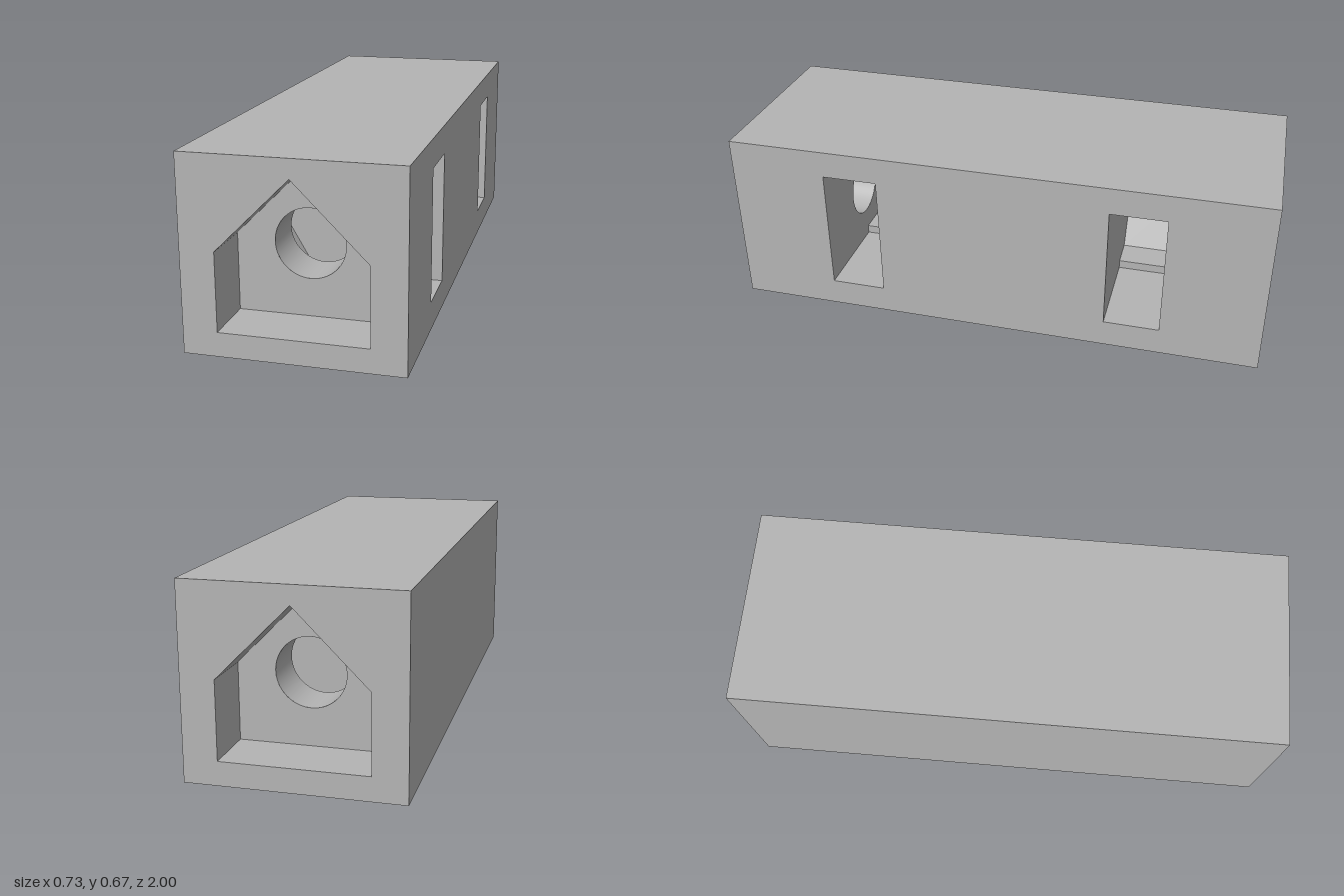
import * as THREE from 'three';

const W = 0.367, H = 0.667, L = 1;          // half width, height, half length
const CY = 0.334, BORE = 0.12;              // bore axis height and radius
const POCKET_Z = 0.8, SLOT_OUT = 0.635, SLOT_IN = 0.43;
const R = 0.232, F = 0.2;                   // hexagon corner and flat radii

const grey = new THREE.MeshStandardMaterial({ color: 0xb4b4b4, side: THREE.DoubleSide });
grey.name = 'plain grey';

const toShape = (pts) => new THREE.Shape(pts.map(([x, y]) => new THREE.Vector2(x, y)));
const rect = (x0, y0, x1, y1) => [[x0, y0], [x1, y0], [x1, y1], [x0, y1]];

// Flat sheet in the xy plane with optional holes
function sheet(pts, holes = []) {
  const shape = toShape(pts);
  shape.holes.push(...holes);
  return new THREE.ShapeGeometry(shape, 64);
}

// Inward-facing walls along a counterclockwise outline, from z0 to z1
function walls(pts, z0, z1, closed) {
  const pos = [];
  const count = closed ? pts.length : pts.length - 1;
  for (let i = 0; i < count; i++) {
    const [px, py] = pts[i], [qx, qy] = pts[(i + 1) % pts.length];
    pos.push(px, py, z0, px, py, z1, qx, qy, z1);
    pos.push(px, py, z0, qx, qy, z1, qx, qy, z0);
  }
  const g = new THREE.BufferGeometry();
  g.setAttribute('position', new THREE.Float32BufferAttribute(pos, 3));
  g.computeVertexNormals();
  return g;
}

export function createModel() {
  const model = new THREE.Group();
  model.name = 'slottedBlock';
  const add = (name, geometry) => {
    const mesh = new THREE.Mesh(geometry, grey);
    mesh.name = name;
    model.add(mesh);
    return mesh;
  };

  const house = [[-0.25, 0.083], [0.25, 0.083], [0.25, 0.352], [0, 0.602], [-0.25, 0.352]];
  const slot = [[W, CY + R], [0, CY + R], [0, CY + F], [-R / 2, CY + F], [-R, CY],
    [-R / 2, CY - F], [0, CY - F], [0, CY - R], [W, CY - R]];
  const circle = () => new THREE.Path().absarc(0, CY, BORE, 0, Math.PI * 2, true);

  // Outer skin
  add('top', sheet(rect(-W, -L, W, L)).rotateX(-Math.PI / 2).translate(0, H, 0));
  add('bottom', sheet(rect(-W, -L, W, L)).rotateX(Math.PI / 2));
  add('closedSide', sheet(rect(-L, 0, L, H)).rotateY(-Math.PI / 2).translate(-W, 0, 0));
  const openings = [-1, 1].map((s) => {
    const a = Math.min(s * SLOT_IN, s * SLOT_OUT), b = Math.max(s * SLOT_IN, s * SLOT_OUT);
    return toShape(rect(a, CY - R, b, CY + R));
  });
  add('slottedSide', sheet(rect(-L, 0, L, H), openings).rotateY(Math.PI / 2).translate(W, 0, 0));

  // Each end: house-shaped pocket, round bore and side slot with a hexagonal bottom
  for (const [s, end] of [[1, 'front'], [-1, 'back']]) {
    const span = (a, b) => [Math.min(s * a, s * b), Math.max(s * a, s * b)];
    const turn = s > 0 ? 0 : Math.PI;
    add(end + 'Face', sheet(rect(-W, 0, W, H), [toShape(house)]).rotateY(turn).translate(0, 0, s * L));
    add(end + 'PocketWalls', walls(house, ...span(POCKET_Z, L), true));
    add(end + 'PocketFloor', sheet(house, [circle()]).rotateY(turn).translate(0, 0, s * POCKET_Z));

    const bore = new THREE.CylinderGeometry(BORE, BORE, POCKET_Z - SLOT_OUT, 64, 1, true);
    add(end + 'Bore', bore.rotateX(Math.PI / 2).translate(0, CY, s * (POCKET_Z + SLOT_OUT) / 2));

    add(end + 'SlotWalls', walls(slot, ...span(SLOT_IN, SLOT_OUT), false));
    add(end + 'SlotOuterCheek', sheet(slot, [circle()]).translate(0, 0, s * SLOT_OUT));
    add(end + 'SlotInnerCheek', sheet(slot).translate(0, 0, s * SLOT_IN));
  }
  return model;
}
